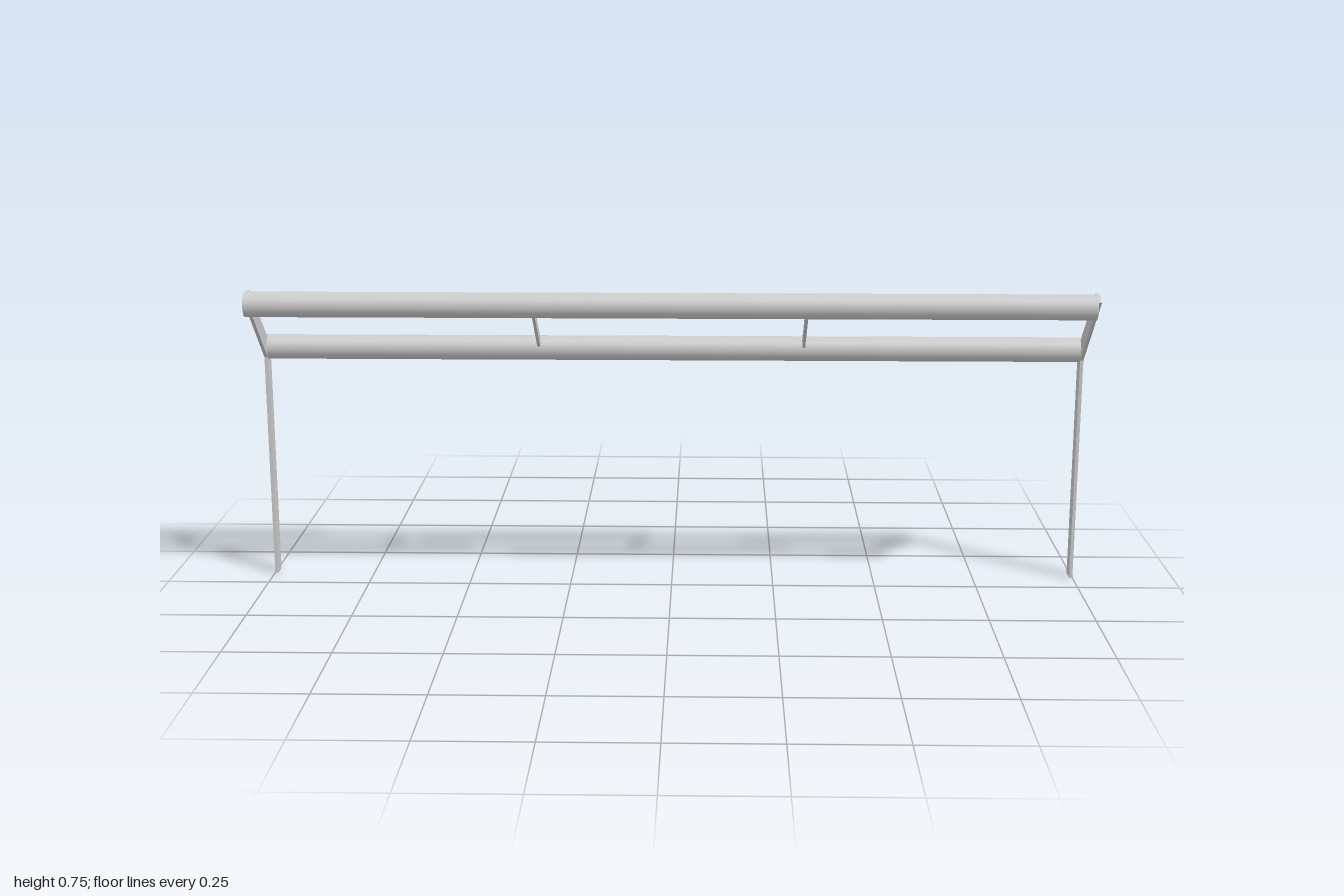
import * as THREE from 'three';

export function createModel() {
  const group = new THREE.Group();
  const material = new THREE.MeshStandardMaterial({ color: 0xcccccc });
  const plate = 0.008; // thickness of the flat bars
  const front = { z: 0.097, y: 0.717 };
  const back = { z: -0.097, y: 0.577 };

  const add = (name, geometry, x, y, z) => {
    const mesh = new THREE.Mesh(geometry, material);
    mesh.name = name;
    mesh.position.set(x, y, z);
    group.add(mesh);
    return mesh;
  };

  // Bent flat legs, drawn side-on as (z, y) and extruded along x
  const outline = [[-0.113, 0], [-0.075, 0], [-0.075, 0.555], [0.117, 0.731], [0.075, 0.747], [-0.113, 0.577]];
  const shape = new THREE.Shape(outline.map(([z, y]) => new THREE.Vector2(-z, y)));
  const legGeometry = new THREE.ExtrudeGeometry(shape, { depth: plate, bevelEnabled: false });
  legGeometry.rotateY(Math.PI / 2);
  add('leftLeg', legGeometry, 1 - plate, 0, 0);
  add('rightLeg', legGeometry, -1, 0, 0);

  // Two long round rails, flush with the right leg's outer face
  const railGeometry = new THREE.CylinderGeometry(0.03, 0.03, 2 - plate, 40);
  railGeometry.rotateZ(Math.PI / 2);
  add('frontRail', railGeometry, -plate / 2, front.y, front.z);
  add('backRail', railGeometry, -plate / 2, back.y, back.z);

  // Thin cross bars joining the rails
  const dz = front.z - back.z, dy = front.y - back.y;
  const barGeometry = new THREE.BoxGeometry(0.007, 0.021, Math.hypot(dz, dy) - 0.05);
  barGeometry.rotateX(-Math.atan2(dy, dz));
  for (const [name, x] of [['leftCrossBar', 0.32], ['rightCrossBar', -0.325]]) {
    add(name, barGeometry, x, (front.y + back.y) / 2, 0);
  }
  return group;
}
